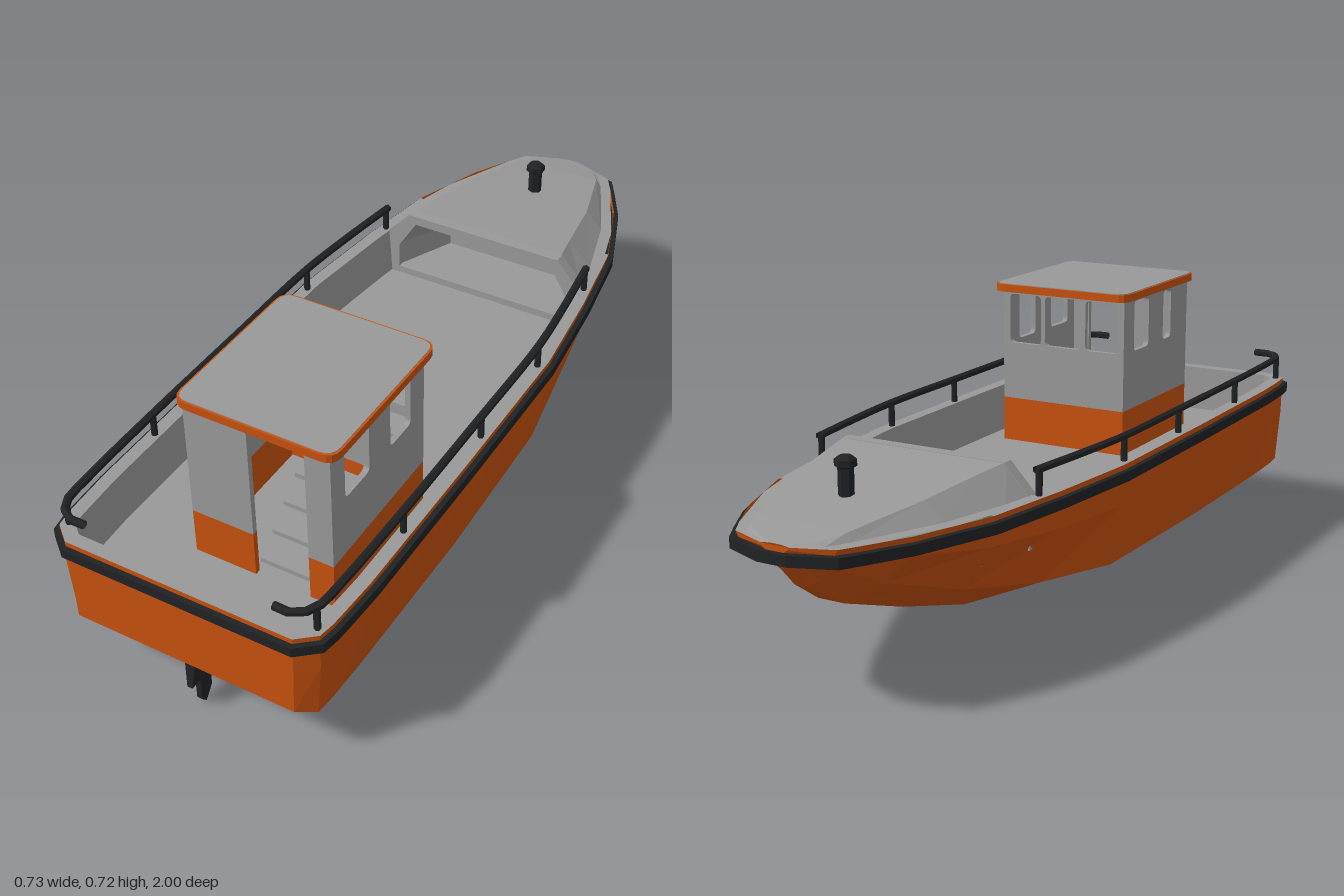
import * as THREE from 'three';

const mat = (name, color) => new THREE.MeshStandardMaterial({ name, color, flatShading: true, side: THREE.DoubleSide });

// Hull stations: z, sheer x, chine x, chine y, knee x, knee y, keel x, keel y
const SHEER = 0.405, DECK = 0.28;
const stations = [
  [0.987, 0.29, 0.285, 0.18, 0.2, 0.18, 0.1, 0.18],
  [0.95, 0.335, 0.322, 0.163, 0.18, 0.15, 0.1, 0.15],
  [0.91, 0.342, 0.325, 0.16, 0.165, 0.125, 0.11, 0.125],
  [0.88, 0.344, 0.326, 0.159, 0.165, 0.105, 0.075, 0.055],
  [0.77, 0.35, 0.328, 0.157, 0.18, 0.092, 0.09, 0.035],
  [0.35, 0.352, 0.33, 0.155, 0.19, 0.09, 0.095, 0.028],
  [-0.1, 0.35, 0.315, 0.15, 0.18, 0.1, 0.09, 0.055],
  [-0.37, 0.322, 0.27, 0.18, 0.15, 0.135, 0.07, 0.09],
  [-0.6, 0.287, 0.21, 0.225, 0.12, 0.19, 0.05, 0.155],
  [-0.8, 0.215, 0.14, 0.29, 0.08, 0.255, 0.035, 0.225],
  [-0.9, 0.16, 0.09, 0.34, 0.05, 0.315, 0.02, 0.29],
  [-0.95, 0.13, 0.07, 0.37, 0.04, 0.36, 0.02, 0.355],
  [-0.987, 0.035, 0.02, 0.39, 0.015, 0.388, 0.01, 0.386],
];

// Half width of the sheer at a given z
function halfWidth(z) {
  for (let i = 1; i < stations.length; i++) {
    const [z0, w0] = stations[i - 1], [z1, w1] = stations[i];
    if (z >= z1) return w0 + (w1 - w0) * (z0 - z) / (z0 - z1);
  }
  return 0.035;
}

// Skin a list of cross-sections
function loft(rings, { closedRing = false, closedPath = false, capStart = false, capEnd = false } = {}) {
  const v = [], n = rings[0].length;
  const last = closedPath ? rings.length : rings.length - 1;
  for (let i = 0; i < last; i++) {
    const r = rings[i], s = rings[(i + 1) % rings.length];
    for (let j = 0; j < (closedRing ? n : n - 1); j++) {
      const k = (j + 1) % n;
      v.push(...r[j], ...r[k], ...s[j], ...r[k], ...s[k], ...s[j]);
    }
  }
  const end = rings[rings.length - 1];
  for (let k = 1; k < n - 1; k++) {
    if (capStart) v.push(...rings[0][0], ...rings[0][k + 1], ...rings[0][k]);
    if (capEnd) v.push(...end[0], ...end[k], ...end[k + 1]);
  }
  const g = new THREE.BufferGeometry();
  g.setAttribute('position', new THREE.Float32BufferAttribute(v, 3));
  g.computeVertexNormals();
  return g;
}

// Move an outline of [x, z] points outward along its mitred normals
function offset(pts, d) {
  return pts.map((p, i) => {
    const a = pts[(i + pts.length - 1) % pts.length], b = pts[(i + 1) % pts.length];
    const n1 = new THREE.Vector2(p[1] - a[1], a[0] - p[0]).normalize();
    const n2 = new THREE.Vector2(b[1] - p[1], p[0] - b[0]).normalize();
    const n = n1.clone().add(n2).normalize();
    const m = d / Math.max(0.5, n.dot(n1));
    return [p[0] + n.x * m, p[1] + n.y * m];
  });
}

function roundedRect(Type, x0, y0, x1, y1, r) {
  const s = new Type();
  s.moveTo(x0 + r, y0).lineTo(x1 - r, y0).quadraticCurveTo(x1, y0, x1, y0 + r);
  s.lineTo(x1, y1 - r).quadraticCurveTo(x1, y1, x1 - r, y1);
  s.lineTo(x0 + r, y1).quadraticCurveTo(x0, y1, x0, y1 - r);
  s.lineTo(x0, y0 + r).quadraticCurveTo(x0, y0, x0 + r, y0);
  return s;
}

const extrude = (shape, depth) => new THREE.ExtrudeGeometry(shape, { depth, bevelEnabled: false, curveSegments: 4 });
const polygon = pts => new THREE.Shape(pts.map(p => new THREE.Vector2(...p)));

export function createModel() {
  const boat = new THREE.Group();
  boat.name = 'workboat';
  const orange = mat('hull orange', 0xc8510f), grey = mat('deck grey', 0x999999), black = mat('rubber black', 0x202224);
  const add = (name, geometry, material, parent = boat) => {
    const m = new THREE.Mesh(geometry, material);
    m.name = name;
    parent.add(m);
    return m;
  };
  const box = (name, x0, x1, y0, y1, z0, z1, material, parent) => {
    const m = add(name, new THREE.BoxGeometry(x1 - x0, y1 - y0, z1 - z0), material, parent);
    m.position.set((x0 + x1) / 2, (y0 + y1) / 2, (z0 + z1) / 2);
    return m;
  };

  // Hull shell
  add('hull', loft(stations.map(([z, w, cx, cy, nx, ny, kx, ky]) => {
    const half = [[w, SHEER], [cx + (w - cx) * 0.88, cy + (SHEER - cy) * 0.6], [cx, cy], [nx, ny], [kx, ky]];
    return [...half.map(([x, y]) => [x, y, z]), ...half.reverse().map(([x, y]) => [-x, y, z])];
  }), { capStart: true, capEnd: true }), orange);

  // Rubbing strake around the whole sheer
  const side = stations.map(([z, w]) => [w, z]).reverse();
  const outline = [...side, ...side.map(([w, z]) => [-w, z]).reverse()];
  const outer = offset(outline, 0.013), inner = offset(outline, -0.012);
  add('fender', loft(outer.map(([x, z], i) => [
    [x, 0.392, z], [inner[i][0], 0.392, inner[i][1]], [inner[i][0], 0.367, inner[i][1]], [x, 0.367, z],
  ]), { closedRing: true, closedPath: true }), black);

  // Gunwale cap, inner bulwark and deck
  const inset = offset(outline, -0.033);
  const well = outline.map((p, i) => [p, inset[i]]).filter(([p]) => p[1] > -0.65);
  add('bulwark', loft(well.map(([p, q]) => [
    [p[0], SHEER, p[1]], [q[0], SHEER, q[1]], [q[0] * 0.97, DECK, q[1]],
  ])), grey);
  const deck = new THREE.ShapeGeometry(polygon(well.map(([, q]) => [q[0] * 0.97, -q[1]])));
  add('deck', deck.rotateX(-Math.PI / 2).translate(0, DECK, 0), grey);

  // Raised foredeck: z, top half width, top height
  const fore = [[-0.43, 0.22, 0.475], [-0.52, 0.205, 0.468], [-0.7, 0.175, 0.45], [-0.9, 0.115, 0.424],
    [-0.95, 0.08, 0.414], [-0.986, 0.012, 0.408]];
  add('foredeck', loft(fore.map(([z, t, y]) => {
    const w = halfWidth(z), half = [[-w, SHEER, z], [-Math.max(w - 0.03, t + 0.01), SHEER + 0.002, z], [-t, y, z]];
    return [...half, ...half.map(([x, yy]) => [-x, yy, z]).reverse()];
  })), grey);

  // Forward bulkhead with a tapering alcove
  const mouth = [[-0.25, 0.3], [0.25, 0.3], [0.25, 0.37], [0.2, 0.45], [-0.2, 0.45], [-0.25, 0.37]];
  const bulkhead = polygon([[-0.285, DECK], [0.285, DECK], [0.285, 0.405], [0.22, 0.475], [-0.22, 0.475], [-0.285, 0.405]]);
  bulkhead.holes.push(new THREE.Path(mouth.map(p => new THREE.Vector2(...p))));
  add('bulkhead', extrude(bulkhead, 0.03).translate(0, 0, -0.443), grey);
  add('alcove', loft([
    mouth.map(([x, y]) => [x, y, -0.43]),
    mouth.map(([x, y]) => [x * 0.72, 0.3 + (y - 0.3) * 0.85, -0.58]),
  ], { closedRing: true, capEnd: true }), grey);

  // Wheelhouse, set off centre
  const cabin = new THREE.Group();
  cabin.name = 'wheelhouse';
  boat.add(cabin);
  const X0 = -0.11, X1 = 0.255, Z0 = 0.37, Z1 = 0.765, T = 0.014, BAND = 0.4, TOP = 0.702;
  const wall = (name, a, b, windows) => {
    const s = polygon([[a, BAND], [b, BAND], [b, TOP], [a, TOP]]);
    for (const [p, q] of windows) s.holes.push(roundedRect(THREE.Path, p, 0.555, q, 0.69, 0.014));
    return add(name, extrude(s, T), grey, cabin);
  };
  wall('frontWall', X0, X1, [[-0.09, 0.005], [0.018, 0.128], [0.14, 0.235]]).position.z = Z0;
  // Side walls are drawn along -z, then turned
  for (const [name, x, rear] of [['leftWall', X1 - T, 0.71], ['rightWall', X0, 0.66]]) {
    const m = wall(name, -Z1, -Z0, [[-rear, -0.61], [-0.52, -0.43]]);
    m.rotation.y = Math.PI / 2;
    m.position.x = x;
    box(name + 'Base', x, x + T, DECK, BAND, Z0, Z1, orange, cabin);
  }
  box('frontWallBase', X0, X1, DECK, BAND, Z0, Z0 + T, orange, cabin);
  // Rear wall either side of the doorway
  for (const [a, b] of [[X0, 0.05], [0.192, X1]]) {
    box('rearWall', a, b, BAND, TOP, Z1 - T, Z1, grey, cabin);
    box('rearWallBase', a, b, DECK, BAND, Z1 - T, Z1, orange, cabin);
  }
  box('doorHeader', 0.05, 0.192, 0.69, TOP, Z1 - T, Z1, grey, cabin);
  // Steps inside the doorway and the helm console
  for (let i = 0; i < 4; i++) {
    const y = 0.32 + i * 0.045, z = 0.75 - i * 0.05;
    box('step', 0.055, 0.188, y - 0.012, y, z - 0.06, z, grey, cabin);
  }
  box('console', X0 + T, X1 - T, 0.4, 0.525, Z0 + T, Z0 + 0.08, grey, cabin);
  // Roof with orange rim and grey top
  const flat = (shape, depth, y) => extrude(shape, depth).rotateX(-Math.PI / 2).translate(0, y, 0);
  add('roofRim', flat(roundedRect(THREE.Shape, -0.13, -0.775, 0.27, -0.335, 0.035), 0.02, 0.7), orange, cabin);
  add('roofTop', flat(roundedRect(THREE.Shape, -0.125, -0.77, 0.265, -0.34, 0.032), 0.003, 0.719), grey, cabin);

  // Handrails with posts, curling in at the stern
  for (const s of [1, -1]) {
    const rail = new THREE.Group();
    rail.name = s > 0 ? 'leftRail' : 'rightRail';
    boat.add(rail);
    const railX = z => s * (halfWidth(z) - 0.018);
    const pts = [-0.43, -0.25, -0.07, 0.235, 0.6, 0.85, 0.93].map(z => new THREE.Vector3(railX(z), 0.466, z));
    pts.push(new THREE.Vector3(s * 0.29, 0.466, 0.97), new THREE.Vector3(s * 0.24, 0.466, 0.973));
    add('handrail', new THREE.TubeGeometry(new THREE.CatmullRomCurve3(pts), 40, 0.01, 6), black, rail);
    for (const z of [-0.42, -0.07, 0.235, 0.6, 0.935]) {
      add('railPost', new THREE.CylinderGeometry(0.008, 0.008, 0.065, 6), black, rail).position.set(railX(z), 0.434, z);
    }
  }

  // Mooring post on the foredeck
  const post = [[0, 0.435], [0.018, 0.435], [0.018, 0.505], [0.025, 0.51], [0.025, 0.525], [0.015, 0.533], [0, 0.533]];
  add('mooringPost', new THREE.LatheGeometry(post.map(p => new THREE.Vector2(...p)), 6), black).position.z = -0.735;

  // Rudder: blade below, wedge-shaped stock above
  const blade = polygon([[-0.945, 0.1], [-0.945, 0.02], [-0.93, 0.002], [-0.905, 0.035], [-0.905, 0.1]]);
  add('rudderBlade', extrude(blade, 0.014).translate(0, 0, -0.007).rotateY(Math.PI / 2), black);
  add('rudderStock', loft([[0.014, 0.165, 0.965, 0.92], [0.007, 0.085, 0.975, 0.905]].map(([x, y, za, zb]) =>
    [[x, y, za], [-x, y, za], [-x, y, zb], [x, y, zb]]), { closedRing: true, capStart: true, capEnd: true }), black);

  return boat;
}
